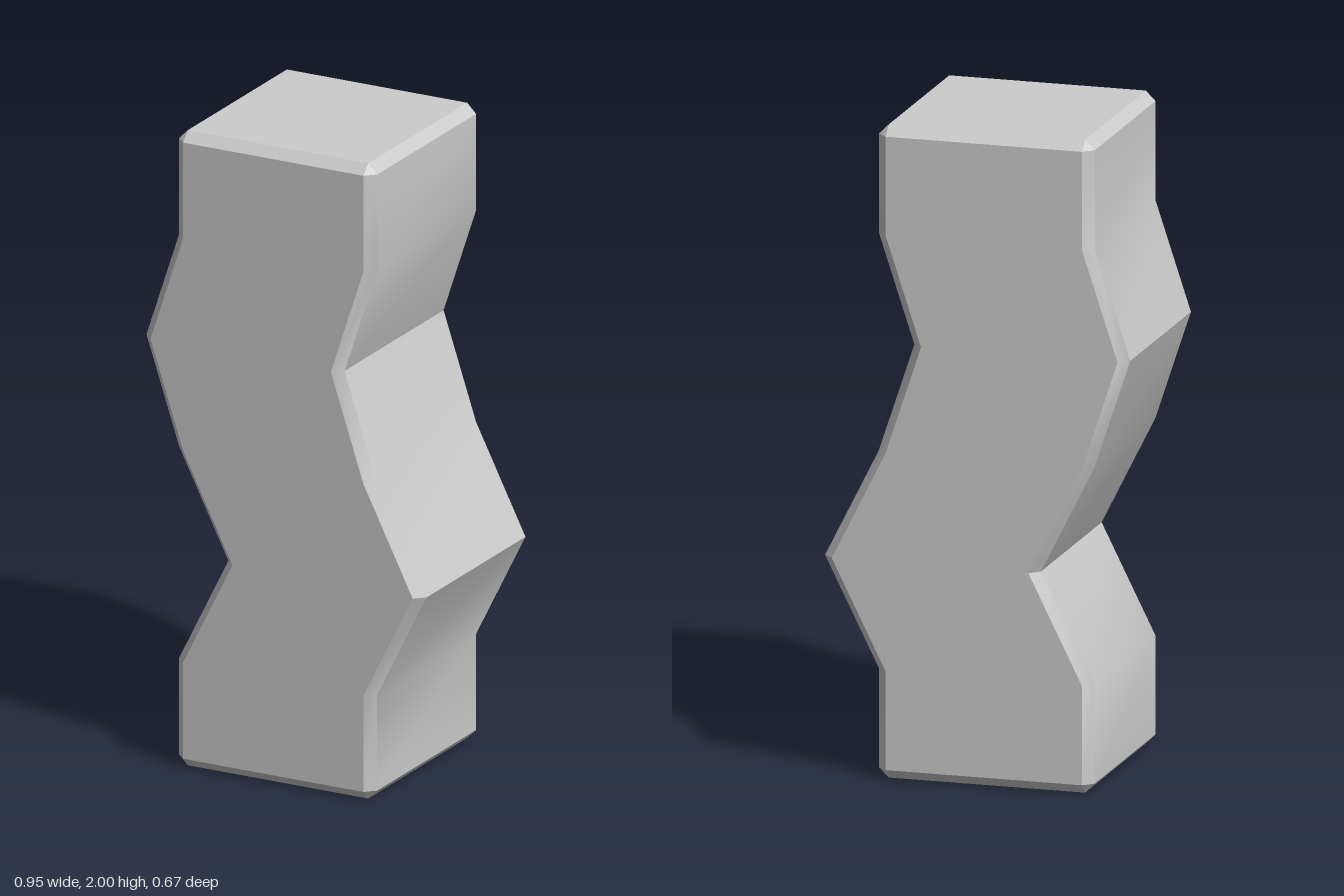
import * as THREE from 'three';
import { toCreasedNormals } from 'three/addons/utils/BufferGeometryUtils.js';

const HALF = 0.335; // half width of the square section
const BEVEL = 0.03;

// Square ring with cut corners, running from +x towards +z; flat = 0 gives a sharp inset square
function ring(centerX, y, outer) {
  const inner = HALF - BEVEL;
  const points = [];
  for (const [sx, sz] of [[1, 1], [-1, 1], [-1, -1], [1, -1]]) {
    const a = new THREE.Vector3(centerX + sx * outer, y, sz * inner);
    const b = new THREE.Vector3(centerX + sx * inner, y, sz * outer);
    points.push(...(sx * sz > 0 ? [a, b] : [b, a]));
  }
  return points;
}

// Skin consecutive rings and close both ends
function loft(rings) {
  const positions = [];
  const triangle = (a, b, c) => {
    if (a.equals(b) || b.equals(c) || a.equals(c)) return;
    for (const p of [a, b, c]) positions.push(p.x, p.y, p.z);
  };
  const n = rings[0].length;
  for (let i = 0; i < rings.length - 1; i++) {
    for (let j = 0; j < n; j++) {
      const k = (j + 1) % n;
      const low = rings[i], high = rings[i + 1];
      triangle(low[j], high[j], low[k]);
      triangle(low[k], high[j], high[k]);
    }
  }
  const bottom = rings[0], top = rings[rings.length - 1];
  for (let j = 1; j < n - 1; j++) {
    triangle(bottom[0], bottom[j], bottom[j + 1]);
    triangle(top[0], top[j + 1], top[j]);
  }
  const geometry = new THREE.BufferGeometry();
  geometry.setAttribute('position', new THREE.Float32BufferAttribute(positions, 3));
  return toCreasedNormals(geometry, THREE.MathUtils.degToRad(30));
}

export function createModel() {
  const group = new THREE.Group();
  group.name = 'zigzagPillar';

  // Sideways shift of the section at each height: [x, y]
  const spine = [
    [-0.03, BEVEL], [-0.03, 0.333], [0.137, 0.667], [-0.03, 1],
    [-0.14, 1.333], [-0.03, 1.667], [-0.03, 2 - BEVEL],
  ];
  const rings = [
    ring(-0.03, 0, HALF - BEVEL),
    ...spine.map(([x, y]) => ring(x, y, HALF)),
    ring(-0.03, 2, HALF - BEVEL),
  ];

  // Bevelled square column bending left and right
  const column = new THREE.Mesh(loft(rings), new THREE.MeshStandardMaterial({ color: 0xcccccc }));
  column.name = 'column';
  group.add(column);
  return group;
}
